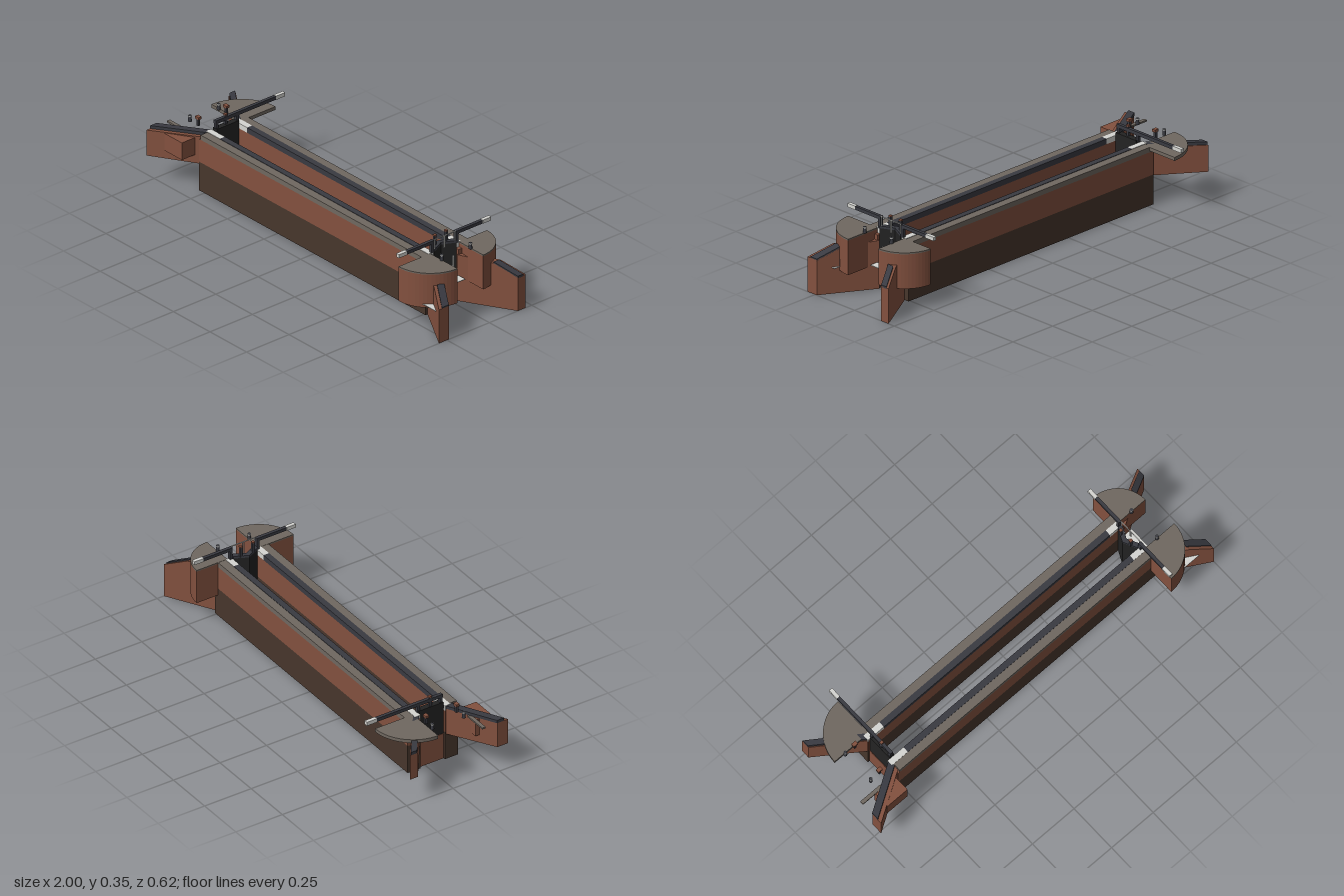
import * as THREE from 'three';

const mat = (name, color) => {
  const m = new THREE.MeshStandardMaterial({ color });
  m.name = name;
  return m;
};

export function createModel() {
  const brick = mat('brick', 0x83513f);
  const wetBrick = mat('wet brick', 0x47362c);
  const stone = mat('grey stone', 0x706860);
  const iron = mat('dark iron', 0x393a41);
  const timber = mat('black timber', 0x232323);
  const white = mat('white paint', 0xd6d6d2);
  const root = new THREE.Group();
  root.name = 'canalLock';

  const add = (name, geo, m) => {
    const mesh = new THREE.Mesh(geo, m);
    mesh.name = name;
    root.add(mesh);
    return mesh;
  };
  // box given by its limits on each axis
  const box = (name, m, x0, x1, y0, y1, z0, z1) => {
    const b = add(name, new THREE.BoxGeometry(x1 - x0, y1 - y0, z1 - z0), m);
    b.position.set((x0 + x1) / 2, (y0 + y1) / 2, (z0 + z1) / 2);
    return b;
  };
  // upright prism from a plan outline of [x, z] points
  const prism = (name, m, plan, y0, y1) => {
    const s = new THREE.Shape(plan.map(([x, z]) => new THREE.Vector2(x, -z)));
    const g = new THREE.ExtrudeGeometry(s, { depth: y1 - y0, bevelEnabled: false });
    g.rotateX(-Math.PI / 2);
    g.translate(0, y0, 0);
    return add(name, g, m);
  };
  // quarter disc plan: dx, dz give the quadrant
  const quarter = (cx, cz, r, dx, dz) => {
    const pts = [[cx, cz]];
    for (let i = 0; i <= 16; i++) {
      const a = (i / 16) * Math.PI / 2;
      pts.push([cx + dx * r * Math.cos(a), cz + dz * r * Math.sin(a)]);
    }
    return pts;
  };
  // wall following a skewed line: elevation [x, y] extruded in z, then sheared
  const skewWall = (name, m, profile, zAt, slope, x0, width) => {
    const s = new THREE.Shape(profile.map(([x, y]) => new THREE.Vector2(x, y)));
    const g = new THREE.ExtrudeGeometry(s, { depth: width, bevelEnabled: false });
    const p = g.attributes.position;
    for (let i = 0; i < p.count; i++) p.setZ(i, p.getZ(i) + zAt + slope * (p.getX(i) - x0));
    g.computeVertexNormals();
    return add(name, g, m);
  };

  // chamber walls with coping
  for (const [inner, dir] of [[-0.03, -1], [0.10, 1]]) {
    const span = (a, b) => [inner + dir * a, inner + dir * b].sort((p, q) => p - q);
    box('lowerWall', wetBrick, -0.785, 0.76, 0, 0.145, ...span(0, 0.07));
    box('upperWall', brick, -0.785, 0.755, 0.145, 0.26, ...span(0, 0.07));
    box('coping', stone, -0.775, 0.735, 0.26, 0.284, ...span(0.03, 0.07));
    box('ironEdge', iron, -0.69, 0.67, 0.26, 0.286, ...span(0, 0.03));
    box('paintedEdge', white, -0.785, -0.69, 0.26, 0.286, ...span(0, 0.03));
    box('paintedEdge', white, 0.67, 0.735, 0.26, 0.286, ...span(0, 0.03));
  }

  // lower wing walls with sloping tops
  const lowWing = [[0.75, 0], [1, 0], [1, 0.17], [0.9, 0.222], [0.75, 0.235]];
  const lowCap = [[0.9, 0.217], [1, 0.165], [1, 0.176], [0.9, 0.229]];
  skewWall('lowerWingFront', brick, lowWing, 0.10, 0.58, 0.76, 0.058);
  skewWall('lowerWingCap', iron, lowCap, 0.10, 0.58, 0.76, 0.04);
  skewWall('lowerWingBack', brick, lowWing, -0.076, -0.575, 0.76, 0.046);
  skewWall('lowerWingCap', iron, lowCap, -0.063, -0.575, 0.76, 0.033);

  // upper wing walls
  const upWing = [[-1, 0.133], [-0.775, 0.133], [-0.775, 0.27], [-1, 0.262]];
  const upCap = [[-1, 0.262], [-0.775, 0.27], [-0.775, 0.285], [-1, 0.277]];
  skewWall('upperWingFront', brick, upWing, 0.238, -0.61, -1, 0.058);
  skewWall('upperWingCap', iron, upCap, 0.236, -0.61, -1, 0.038);
  skewWall('upperWingBack', brick, upWing, -0.232, 0.72, -1, 0.043);
  skewWall('upperWingCap', iron, upCap, -0.227, 0.72, -1, 0.034);
  box('buttress', brick, -0.925, -0.805, 0.175, 0.262, 0.17, 0.255);
  box('buttressSlab', stone, -1, -0.88, 0.258, 0.266, 0.157, 0.175);

  // quarter-round beam platforms
  for (const [cz, r, dz] of [[-0.05, 0.165, -1], [0.12, 0.186, 1]]) {
    const plan = quarter(0.735, cz, r, 1, dz);
    prism('roundBastion', brick, plan, 0.11, 0.278);
    prism('bastionTop', stone, plan, 0.278, 0.285);
  }
  prism('upperPlatform', stone, quarter(-0.76, -0.055, 0.203, -1, -1), 0.267, 0.284);

  // upper gate on its sill
  box('sill', brick, -0.775, -0.72, 0, 0.133, -0.03, 0.10);
  box('upperGate', timber, -0.773, -0.745, 0.12, 0.30, -0.03, 0.10);
  box('upperBeam', iron, -0.768, -0.752, 0.323, 0.34, -0.255, 0.10);
  box('upperBeamTip', white, -0.769, -0.751, 0.322, 0.341, -0.308, -0.255);
  for (const z of [-0.03, 0.09]) box('beamPost', iron, -0.768, -0.752, 0.29, 0.33, z - 0.006, z + 0.008);
  box('upperGatePaddle', iron, -0.768, -0.756, 0.29, 0.345, 0.029, 0.041);
  box('paddleCap', brick, -0.769, -0.755, 0.345, 0.352, 0.028, 0.042);

  // mitred lower gates, pointing up the lock
  for (const [zEnd, dir] of [[0.10, 1], [-0.03, -1]]) {
    const leaf = [[0.685, 0.035], [0.71, 0.035], [0.742, zEnd], [0.717, zEnd]];
    prism('lowerGateLeaf', timber, leaf, 0.013, 0.29);
    prism('gateTopRail', iron, leaf, 0.29, 0.301);
    const tip = dir > 0 ? 0.26 : -0.187;
    const end = dir > 0 ? 0.308 : -0.236;
    const sorted = (a, b) => [Math.min(a, b), Math.max(a, b)];
    box('balanceBeam', iron, 0.722, 0.738, 0.33, 0.346, ...sorted(zEnd, tip));
    box('balanceBeamTip', white, 0.721, 0.739, 0.329, 0.347, ...sorted(tip, end));
    box('beamPost', iron, 0.722, 0.738, 0.285, 0.335, ...sorted(zEnd, zEnd + dir * 0.014));
    // paddle gear and handrail
    const gz = 0.035 + dir * 0.033;
    box('gatePaddle', iron, 0.7, 0.712, 0.295, 0.346, gz - 0.006, gz + 0.006);
    box('paddleCap', brick, 0.699, 0.713, 0.346, 0.352, gz - 0.007, gz + 0.007);
    for (const z of [zEnd - dir * 0.004, 0.035 + dir * 0.003])
      box('railPost', white, 0.733, 0.737, 0.285, 0.346, z - 0.0015, z + 0.0015);
  }
  box('handrail', white, 0.733, 0.737, 0.344, 0.348, -0.03, 0.10);

  // water jets leaking through the gates on to the pool
  for (const [z, top] of [[0.08, 0.206], [0.049, 0.221], [0.016, 0.193], [-0.012, 0.229]])
    box('waterJet', white, 0.738, 0.745, 0.128, top, z - 0.003, z + 0.003);
  box('foam', white, 0.735, 0.80, 0.126, 0.129, -0.03, 0.10);
  box('landingPlate', white, 0.84, 0.94, 0.126, 0.129, 0.185, 0.265);
  box('landingPost', iron, 0.9, 0.91, 0.128, 0.165, 0.185, 0.19);

  // mooring bollards and ground paddle posts
  for (const x of [-0.905, 0.815]) for (const z of [0.121, -0.048]) {
    const body = add('bollard', new THREE.CylinderGeometry(0.007, 0.009, 0.03, 12), iron);
    body.position.set(x, 0.299, z);
    const band = add('bollardBand', new THREE.CylinderGeometry(0.0085, 0.0085, 0.005, 12), white);
    band.position.set(x, 0.311, z);
  }
  for (const z of [0.118, -0.046]) {
    box('groundPaddle', iron, -0.857, -0.845, 0.284, 0.318, z - 0.006, z + 0.006);
    box('groundPaddleCap', brick, -0.863, -0.839, 0.318, 0.33, z - 0.009, z + 0.009);
  }
  return root;
}
